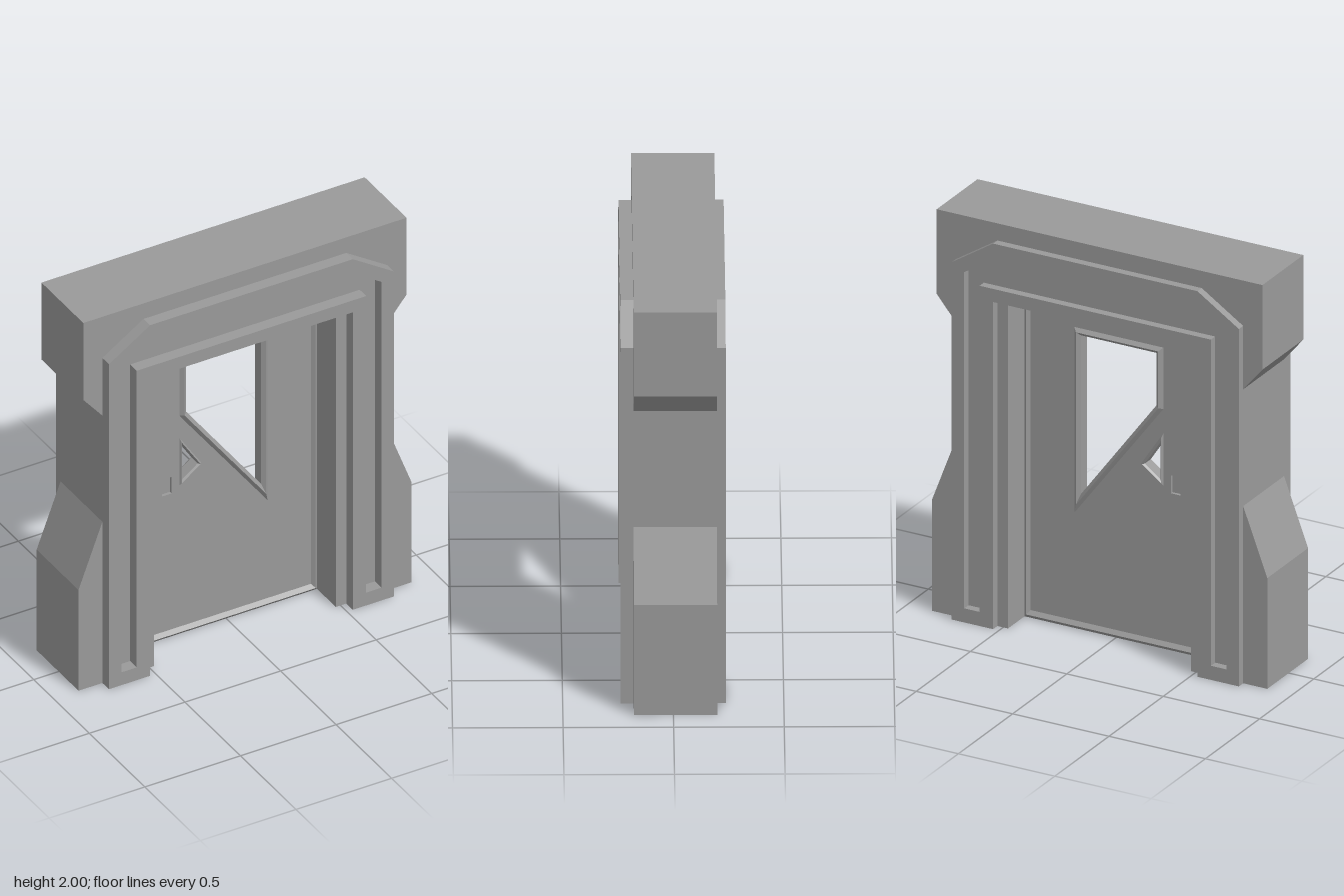
import * as THREE from 'three';

const material = new THREE.MeshStandardMaterial({ color: 0x9a9a9a, flatShading: true });

// Front and back faces of the door leaf
const DOOR_FRONT = 0.01;
const DOOR_BACK = -0.045;

const points = (list) => list.map(([x, y]) => new THREE.Vector2(x, y));

// Takes the right half of an outline, bottom to top, and mirrors it to the left.
const mirrored = (half) => [...half, ...half.slice().reverse().map(([x, y]) => [-x, y])];

// Extrudes an outline with holes between two depths.
function slab(name, outline, holes, z0, z1) {
  const shape = new THREE.Shape(points(outline));
  for (const hole of holes) shape.holes.push(new THREE.Path(points(hole)));
  const geometry = new THREE.ExtrudeGeometry(shape, { depth: z1 - z0, bevelEnabled: false });
  geometry.translate(0, 0, z0);
  const mesh = new THREE.Mesh(geometry, material);
  mesh.name = name;
  return mesh;
}

// Raised ridge between two counter-clockwise outlines, on both faces of the door.
function ridge(name, outer, inner, height) {
  const crest = outer.map(([x, y], i) => [(x + inner[i][0]) / 2, (y + inner[i][1]) / 2]);
  const rings = [outer, crest, inner];
  const position = [];
  for (const [face, side] of [[DOOR_FRONT, 1], [DOOR_BACK, -1]]) {
    const at = (r, i) => [...rings[r][i], face + (r === 1 ? height * side : 0)];
    const order = side > 0 ? [0, 1, 2, 0, 2, 3] : [0, 2, 1, 0, 3, 2];
    for (let r = 0; r < 2; r++) {
      for (let i = 0; i < outer.length; i++) {
        const j = (i + 1) % outer.length;
        const quad = [at(r, i), at(r, j), at(r + 1, j), at(r + 1, i)];
        for (const k of order) position.push(...quad[k]);
      }
    }
  }
  const geometry = new THREE.BufferGeometry();
  geometry.setAttribute('position', new THREE.Float32BufferAttribute(position, 3));
  geometry.computeVertexNormals();
  const mesh = new THREE.Mesh(geometry, material);
  mesh.name = name;
  return mesh;
}

export function createModel() {
  const model = new THREE.Group();
  model.name = 'doorway';

  // Thick wall frame with flared foot blocks and a wide lintel
  const wallHalf = [
    [0.475, 0], [0.87, 0], [0.87, 0.55], [0.745, 0.88],
    [0.745, 1.46], [0.845, 1.58], [0.845, 2],
  ];
  const wall = [...mirrored(wallHalf), [-0.475, 1.625], [0.475, 1.625]];
  model.add(slab('wallFrame', wall, [], -0.198, 0.179));

  // Chamfered trim on both faces, cut through by an arch-shaped groove
  const trimHalf = [[0.53, 0], [0.745, 0], [0.745, 1.775], [0.53, 1.915]];
  const trim = [...mirrored(trimHalf), [-0.53, 1.625], [0.53, 1.625]];
  const grooveHalf = [[0.6, 0.07], [0.68, 0.07], [0.68, 1.74], [0.5, 1.855]];
  const groove = [...mirrored(grooveHalf), [-0.6, 1.69], [0.6, 1.69]];
  model.add(slab('frontTrim', trim, [groove], 0.179, 0.2375));
  model.add(slab('backTrim', trim, [groove], -0.2375, -0.198));

  // Door leaf with a slanted window, a triangular window and a latch pocket
  const door = new THREE.Group();
  door.name = 'door';
  const leaf = mirrored([[0.475, 0], [0.475, 1.625]]);
  const leafInner = mirrored([[0.443, 0.038], [0.443, 1.592]]);
  const windowOuter = [[-0.245, 1.495], [-0.245, 1.19], [0.217, 0.572], [0.217, 1.495]];
  const windowInner = [[-0.209, 1.461], [-0.209, 1.2], [0.183, 0.672], [0.183, 1.461]];
  const triangleOuter = [[-0.245, 1.07], [-0.245, 0.81], [-0.13, 0.895]];
  const triangleInner = [[-0.231, 1.024], [-0.231, 0.837], [-0.149, 0.898]];
  const latch = [[-0.335, 0.78], [-0.285, 0.78], [-0.285, 0.87], [-0.335, 0.87]];
  door.add(slab('doorLeaf', leaf, [windowInner, triangleInner, latch], DOOR_BACK, DOOR_FRONT));
  door.add(slab('latchPlate', latch, [], DOOR_BACK + 0.015, DOOR_FRONT - 0.015));

  // Ridges around the door edge and the two windows
  door.add(ridge('doorEdge', leaf, leafInner, 0.016));
  door.add(ridge('windowRim', windowOuter, windowInner, 0.016));
  door.add(ridge('triangleRim', triangleOuter, triangleInner, 0.01));

  model.add(door);
  return model;
}
